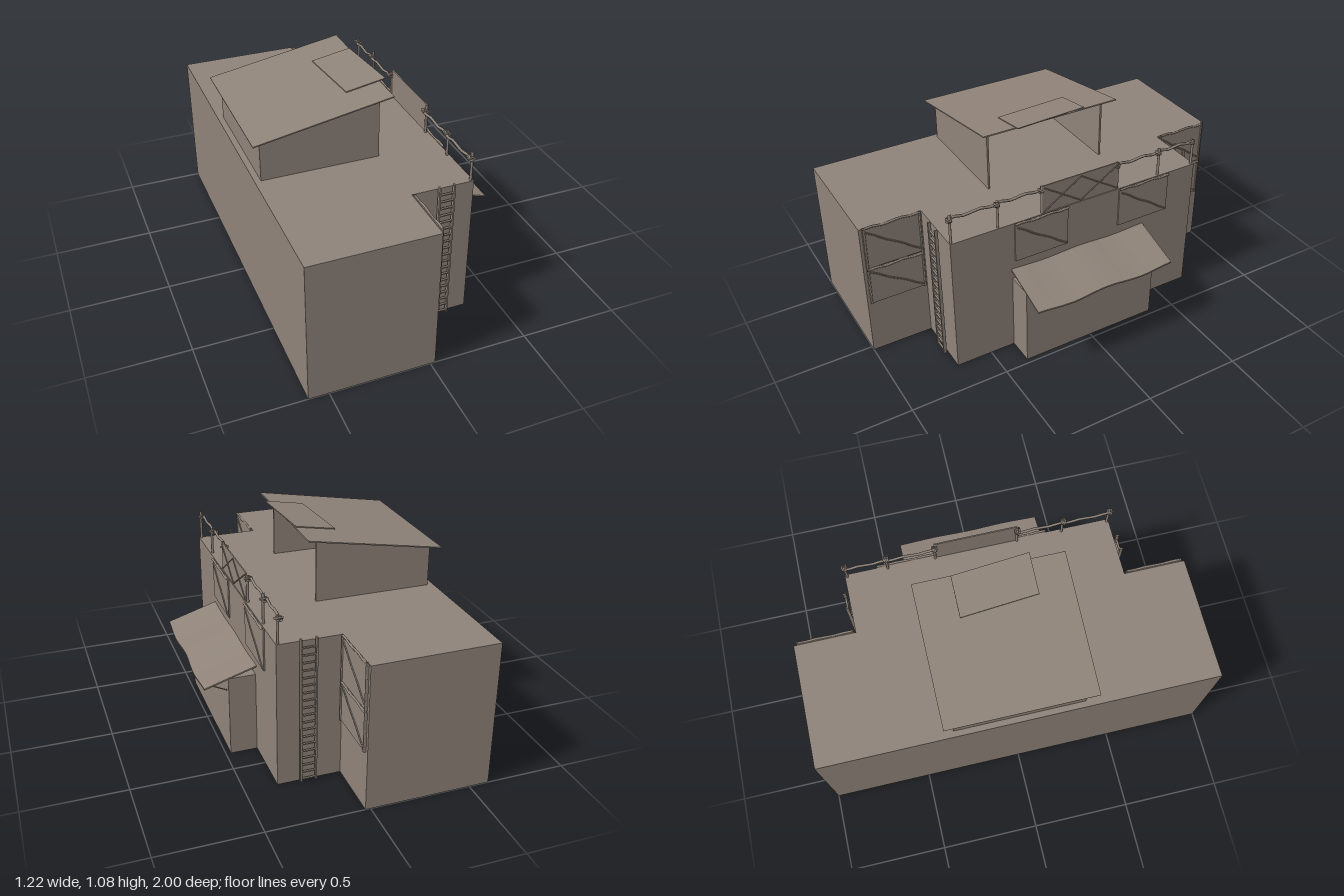
import * as THREE from 'three';

const clay = new THREE.MeshStandardMaterial({ color: 0x8f8379 });
clay.name = 'clay';

function add(parent, name, geometry) {
  const mesh = new THREE.Mesh(geometry, clay);
  mesh.name = name;
  parent.add(mesh);
  return mesh;
}

// Box given by its minimum and maximum corners
function block(parent, name, [x0, y0, z0], [x1, y1, z1]) {
  const mesh = add(parent, name, new THREE.BoxGeometry(x1 - x0, y1 - y0, z1 - z0));
  mesh.position.set((x0 + x1) / 2, (y0 + y1) / 2, (z0 + z1) / 2);
  return mesh;
}

// Side outline in x and y, stretched from z0 to z1
function prism(parent, name, outline, z0, z1) {
  const shape = new THREE.Shape(outline.map(([x, y]) => new THREE.Vector2(x, y)));
  const mesh = add(parent, name, new THREE.ExtrudeGeometry(shape, { depth: z1 - z0, bevelEnabled: false }));
  mesh.position.z = z0;
  return mesh;
}

// Crooked pole: a tube between two points with a slight wobble in height
function pole(parent, name, a, b, radius = 0.005, wobble = 0) {
  const start = new THREE.Vector3(...a), end = new THREE.Vector3(...b);
  const points = [];
  for (let i = 0; i <= 6; i++) {
    const p = start.clone().lerp(end, i / 6);
    p.y += wobble * Math.sin(i * 2.1);
    points.push(p);
  }
  const curve = new THREE.CatmullRomCurve3(points);
  return add(parent, name, new THREE.TubeGeometry(curve, wobble ? 12 : 1, radius, 6));
}

// Thin sheet hung on a wall facing +x, with a top pole and diagonal braces
function hungPanel(parent, x, zHigh, zLow, yTop, yBottom, braces) {
  const panel = new THREE.Group();
  panel.name = 'bracedPanel';
  parent.add(panel);
  block(panel, 'panelSheet', [x, yBottom, zLow], [x + 0.007, yTop, zHigh]);
  pole(panel, 'topPole', [x + 0.009, yTop, zHigh], [x + 0.009, yTop, zLow], 0.006, 0.004);
  for (const [y0, y1] of braces) {
    pole(panel, 'diagonalBrace', [x + 0.009, y0, zHigh - 0.01], [x + 0.009, y1, zLow + 0.005], 0.004, 0.003);
  }
  return panel;
}

export function createModel() {
  const model = new THREE.Group();
  model.name = 'building';
  const top = 0.738;

  // Stepped building masses
  block(model, 'mainBlock', [-0.6, 0, -1], [0.025, top, 1]);
  block(model, 'middleBlock', [0.025, 0, -0.69], [0.34, top, 0.685]);
  block(model, 'porchBlock', [0.34, 0, -0.368], [0.475, 0.42, 0.37]);

  // Rooftop shed, open towards +x
  const shed = new THREE.Group();
  shed.name = 'rooftopShed';
  model.add(shed);
  const roofY = x => 0.944 + 0.176 * (x + 0.61);
  const side = [[-0.57, top], [0.02, top], [0.02, roofY(0.02)], [-0.57, roofY(-0.57)]];
  prism(shed, 'shedSideWall', side, 0.313, 0.323);
  prism(shed, 'shedSideWall', side, -0.328, -0.318);
  block(shed, 'shedBackWall', [-0.57, top, -0.318], [-0.56, roofY(-0.57), 0.313]);
  prism(shed, 'shedRoof', [[-0.61, roofY(-0.61)], [0.075, roofY(0.075)],
    [0.074, roofY(0.075) + 0.006], [-0.611, roofY(-0.61) + 0.006]], -0.375, 0.365);

  // Loose sheet lying slightly askew on the shed roof
  const patch = new THREE.BoxGeometry(0.2, 0.005, 0.385);
  const pp = patch.attributes.position;
  for (let i = 0; i < pp.count; i++) {
    const x = pp.getX(i) - 0.013 + pp.getZ(i) * 0.08;
    pp.setXYZ(i, x, pp.getY(i) + roofY(x) + 0.01, pp.getZ(i) + 0.005);
  }
  patch.computeVertexNormals();
  add(shed, 'roofPatch', patch);

  // Wavy awning over the porch
  const awning = new THREE.Group();
  awning.name = 'awning';
  model.add(awning);
  const sheet = new THREE.BoxGeometry(0.262, 0.008, 0.762, 1, 1, 24);
  const sp = sheet.attributes.position;
  for (let i = 0; i < sp.count; i++) {
    const t = sp.getX(i) / 0.262 + 0.5, z = sp.getZ(i);
    const wave = Math.cos(z * 16);
    sp.setXYZ(i, 0.34 + 0.262 * t - 0.004 * t * wave, sp.getY(i) + 0.469 - 0.079 * t + 0.004 * wave, z - 0.005);
  }
  sheet.computeVertexNormals();
  add(awning, 'awningSheet', sheet);
  for (const z of [0.335, 0.205, 0.075, -0.06, -0.205, -0.335]) {
    pole(awning, 'awningStrut', [0.475, 0.342, z], [0.58, 0.394, z], 0.003);
    pole(awning, 'awningStrut', [0.34, 0.434, z], [0.375, 0.455, z], 0.003);
  }

  // Ladders on both ends of the middle block
  for (const [end, wall] of [[1, 0.685], [-1, 0.69]]) {
    const ladder = new THREE.Group();
    ladder.name = 'ladder';
    ladder.position.z = end * (wall + 0.018);
    model.add(ladder);
    for (const x of [0.156, 0.23]) block(ladder, 'ladderRail', [x - 0.004, 0.005, -0.008], [x + 0.004, 0.757, 0.008]);
    for (let i = 0; i < 19; i++) {
      const y = 0.018 + i * 0.0385;
      block(ladder, 'ladderRung', [0.156, y - 0.003, -0.005], [0.23, y + 0.003, 0.005]);
    }
  }

  // Braced panels on the recessed walls, two tiers high
  for (const [zHigh, zLow] of [[0.985, 0.695], [-0.7, -0.985]]) {
    hungPanel(model, 0.026, zHigh, zLow, 0.741, 0.51, [[0.72, 0.53]]);
    hungPanel(model, 0.026, zHigh, zLow, 0.502, 0.3, [[0.49, 0.31]]);
    pole(model, 'cornerPole', [0.035, 0.3, zHigh - 0.004], [0.035, 0.75, zHigh - 0.008], 0.005);
    pole(model, 'cornerPole', [0.035, 0.3, zLow + 0.004], [0.035, 0.75, zLow + 0.004], 0.005);
  }

  // Braced panels on the front wall
  for (const [zHigh, zLow] of [[0.355, 0.065], [-0.23, -0.525]]) {
    hungPanel(model, 0.341, zHigh, zLow, 0.734, 0.522, [[0.715, 0.53]]);
  }

  // Rooftop railing with lashed posts
  const railing = new THREE.Group();
  railing.name = 'railing';
  model.add(railing);
  const posts = [0.675, 0.435, 0.2, -0.225, -0.47, -0.678];
  posts.forEach((z, i) => {
    pole(railing, 'railPost', [0.328, top - 0.01, z], [0.328, i % 2 ? 0.88 : 0.893, z], 0.007);
    for (const tilt of [-0.6, 0.6]) {
      const lashing = add(railing, 'ropeLashing', new THREE.TorusGeometry(0.014, 0.005, 5, 10));
      lashing.position.set(0.321, 0.859, z);
      lashing.rotation.set(Math.PI / 2 + tilt, 0, 0);
    }
    pole(railing, 'ropeKnot', [0.303, 0.866, z - 0.012], [0.34, 0.856, z + 0.012], 0.006);
    if (i !== 2 && i < 5) {
      pole(railing, 'handRail', [0.314, 0.86, z + 0.012], [0.314, 0.858, posts[i + 1] - 0.012], 0.007, 0.005);
    }
  });

  // Sheet with crossed braces closing the middle of the railing
  block(railing, 'railSheet', [0.33, top - 0.008, -0.225], [0.336, 0.89, 0.2]);
  for (const [a, b] of [[0.195, -0.01], [-0.01, -0.22]]) {
    pole(railing, 'crossBrace', [0.338, 0.745, a], [0.338, 0.88, b], 0.003);
    pole(railing, 'crossBrace', [0.338, 0.88, a], [0.338, 0.745, b], 0.003);
  }

  return model;
}
